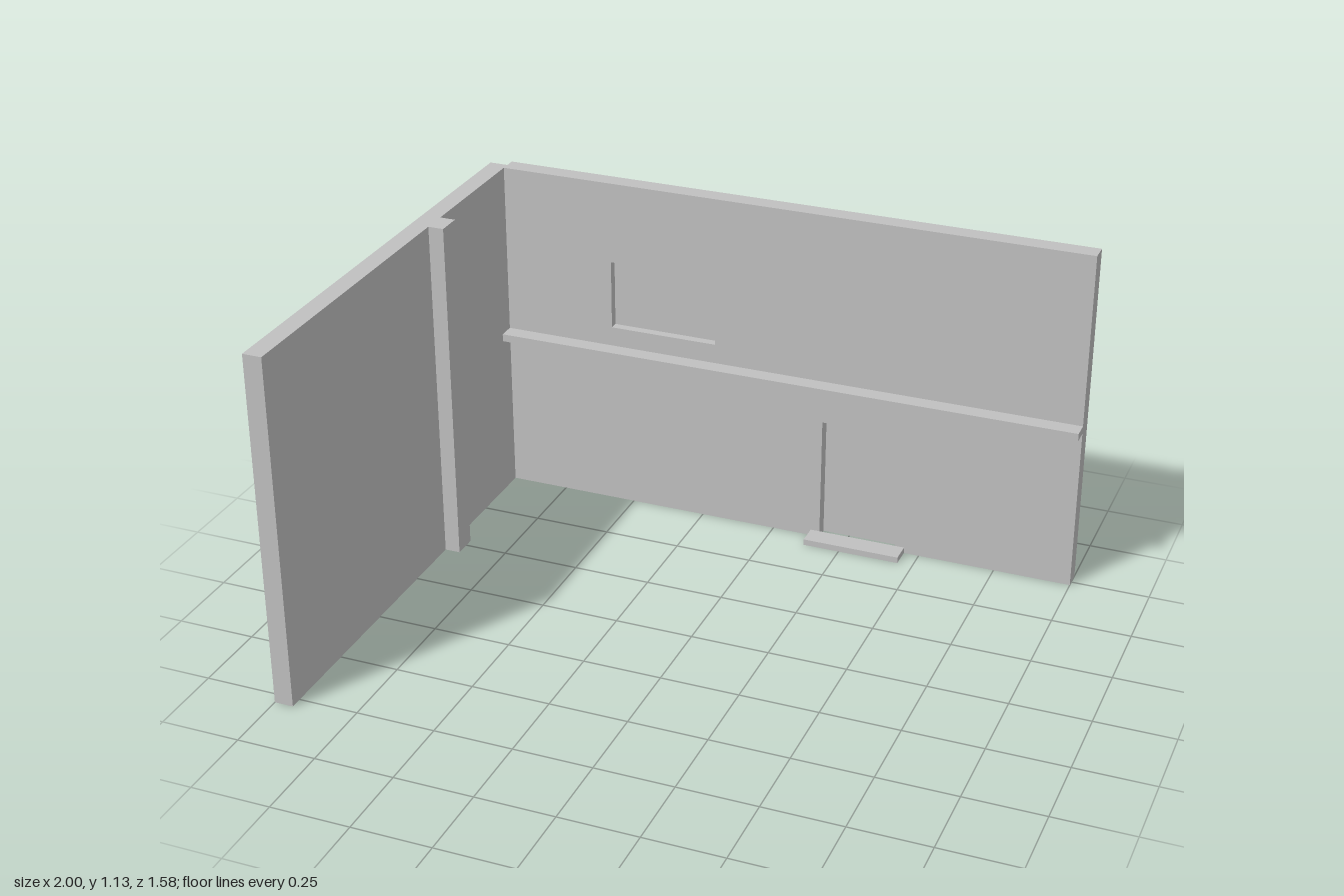
import * as THREE from 'three';

const H = 1.13;          // wall height
const BACK = -0.79;      // rear face of the back wall
const FACE = -0.73;      // inner face of the back wall
const LEFT = -0.94;      // inner face of the side wall

export function createModel() {
  const group = new THREE.Group();
  const plaster = new THREE.MeshStandardMaterial({ color: 0xc0c0c0 });
  plaster.name = 'plaster grey';

  function add(name, geometry) {
    const mesh = new THREE.Mesh(geometry, plaster);
    mesh.name = name;
    group.add(mesh);
    return mesh;
  }

  // box given by its limits on each axis
  function block(name, x0, x1, y0, y1, z0, z1) {
    add(name, new THREE.BoxGeometry(x1 - x0, y1 - y0, z1 - z0))
      .position.set((x0 + x1) / 2, (y0 + y1) / 2, (z0 + z1) / 2);
  }

  // wall outline, with an optional doorway notch and window hole
  function wallShape(door, window) {
    const points = [[LEFT, 0]];
    if (door) points.push([0.16, 0], [0.16, 0.42], [0.42, 0.42], [0.42, 0]);
    points.push([1, 0], [1, H], [LEFT, H]);
    const shape = new THREE.Shape(points.map(p => new THREE.Vector2(...p)));
    if (window) {
      const hole = [[-0.57, 0.63], [-0.57, 0.86], [-0.21, 0.86], [-0.21, 0.63]];
      shape.holes.push(new THREE.Path(hole.map(p => new THREE.Vector2(...p))));
    }
    return shape;
  }

  // back wall in layers: the door niche is deeper than the window niche
  const layers = [
    ['backWallRear', BACK, -0.772, false, false],
    ['backWallDoorNiche', -0.772, -0.759, true, false],
    ['backWallFront', -0.759, FACE, true, true],
  ];
  for (const [name, z0, z1, door, window] of layers) {
    const geometry = new THREE.ExtrudeGeometry(wallShape(door, window), { depth: z1 - z0, bevelEnabled: false });
    add(name, geometry).position.z = z0;
  }

  // side wall and its pilaster
  block('sideWall', -1, LEFT, 0, H, -0.757, 0.79);
  block('pilaster', LEFT, -0.89, 0, H, -0.28, -0.2);

  // ledge along the back wall and the doorstep
  block('ledge', LEFT, 1, 0.54, 0.565, FACE, -0.675);
  block('doorstep', 0.13, 0.45, 0, 0.02, FACE, -0.66);

  return group;
}
